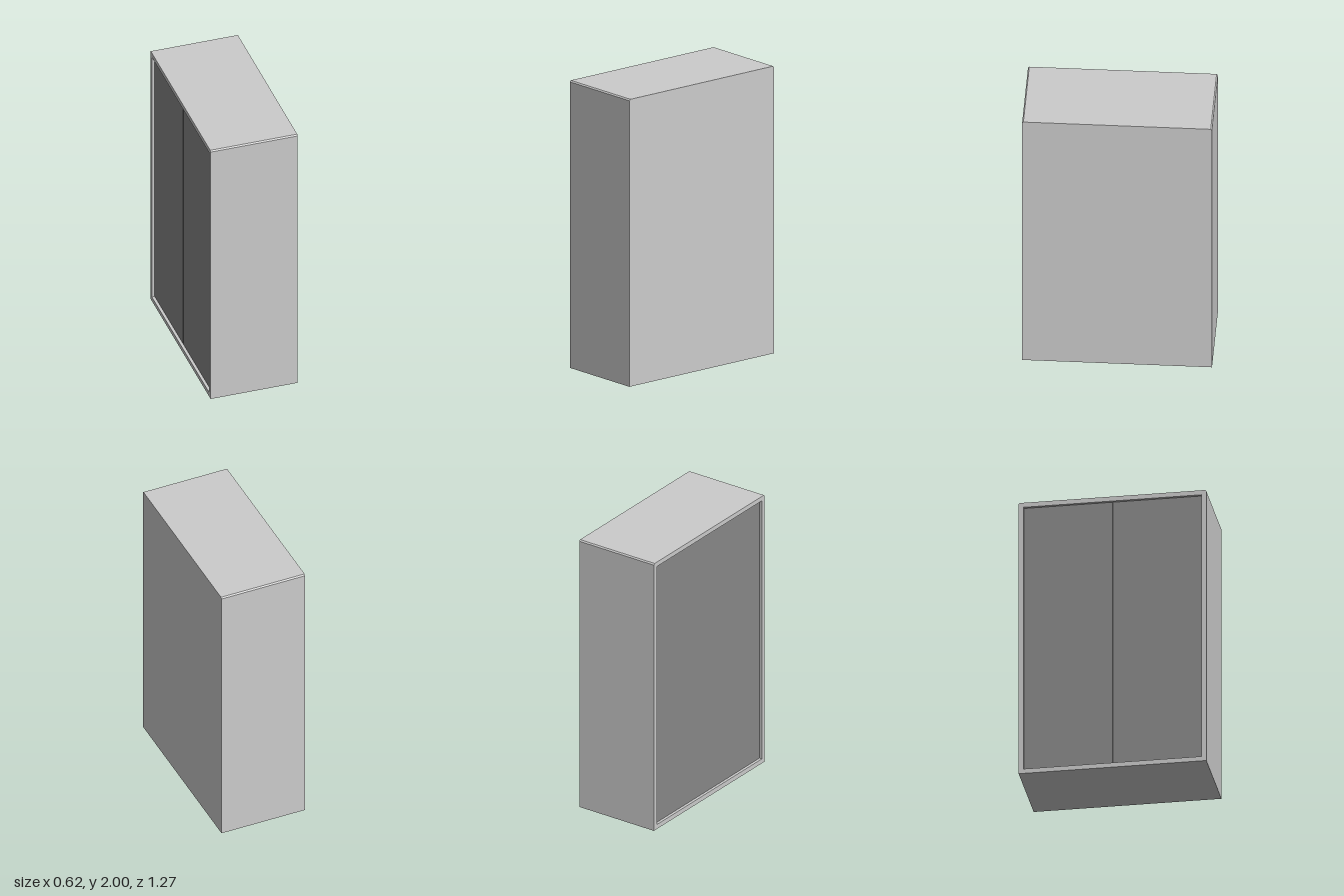
import * as THREE from 'three';

const HALF_X = 0.3075, HALF_Z = 0.6375, HEIGHT = 2, BEVEL = 0.009;
const RIM = 0.033;        // width of the frame around the doors
const FRAME_DEPTH = 0.03, DOOR_THICK = 0.01, GAP = 0.003;

// Cabinet outline seen from the side, with the top front and back edges bevelled
function outline() {
  return new THREE.Shape([
    [-HALF_Z, 0], [HALF_Z, 0], [HALF_Z, HEIGHT - BEVEL], [HALF_Z - BEVEL, HEIGHT],
    [-HALF_Z + BEVEL, HEIGHT], [-HALF_Z, HEIGHT - BEVEL],
  ].map(([z, y]) => new THREE.Vector2(z, y)));
}

// Extrude an outline towards -x, starting at the given x
function extrudeSideways(name, shape, startX, depth, material) {
  const geometry = new THREE.ExtrudeGeometry(shape, { depth, bevelEnabled: false });
  geometry.rotateY(-Math.PI / 2);
  const mesh = new THREE.Mesh(geometry, material);
  mesh.name = name;
  mesh.position.x = startX;
  return mesh;
}

export function createModel() {
  const group = new THREE.Group();
  group.name = 'cabinet';
  const grey = new THREE.MeshStandardMaterial({ color: 0xcccccc });
  const dark = new THREE.MeshStandardMaterial({ color: 0x888888 });

  // Solid carcass
  const bodyDepth = 2 * HALF_X - FRAME_DEPTH;
  group.add(extrudeSideways('carcass', outline(), HALF_X, bodyDepth, grey));

  // Rim around the recessed doors
  const innerZ = HALF_Z - RIM;
  const rim = outline();
  rim.holes.push(new THREE.Path([
    [-innerZ, RIM], [-innerZ, HEIGHT - RIM], [innerZ, HEIGHT - RIM], [innerZ, RIM],
  ].map(([z, y]) => new THREE.Vector2(z, y))));
  const rimX = HALF_X - bodyDepth;
  group.add(extrudeSideways('doorFrame', rim, rimX, FRAME_DEPTH, grey));

  // Pair of doors set back inside the rim
  const doorWidth = innerZ - GAP / 2;
  for (const [name, side] of [['doorFront', 1], ['doorBack', -1]]) {
    const door = new THREE.Mesh(
      new THREE.BoxGeometry(DOOR_THICK, HEIGHT - 2 * RIM, doorWidth), dark);
    door.name = name;
    door.position.set(rimX - DOOR_THICK / 2, HEIGHT / 2, side * (GAP + doorWidth) / 2);
    group.add(door);
  }
  return group;
}
